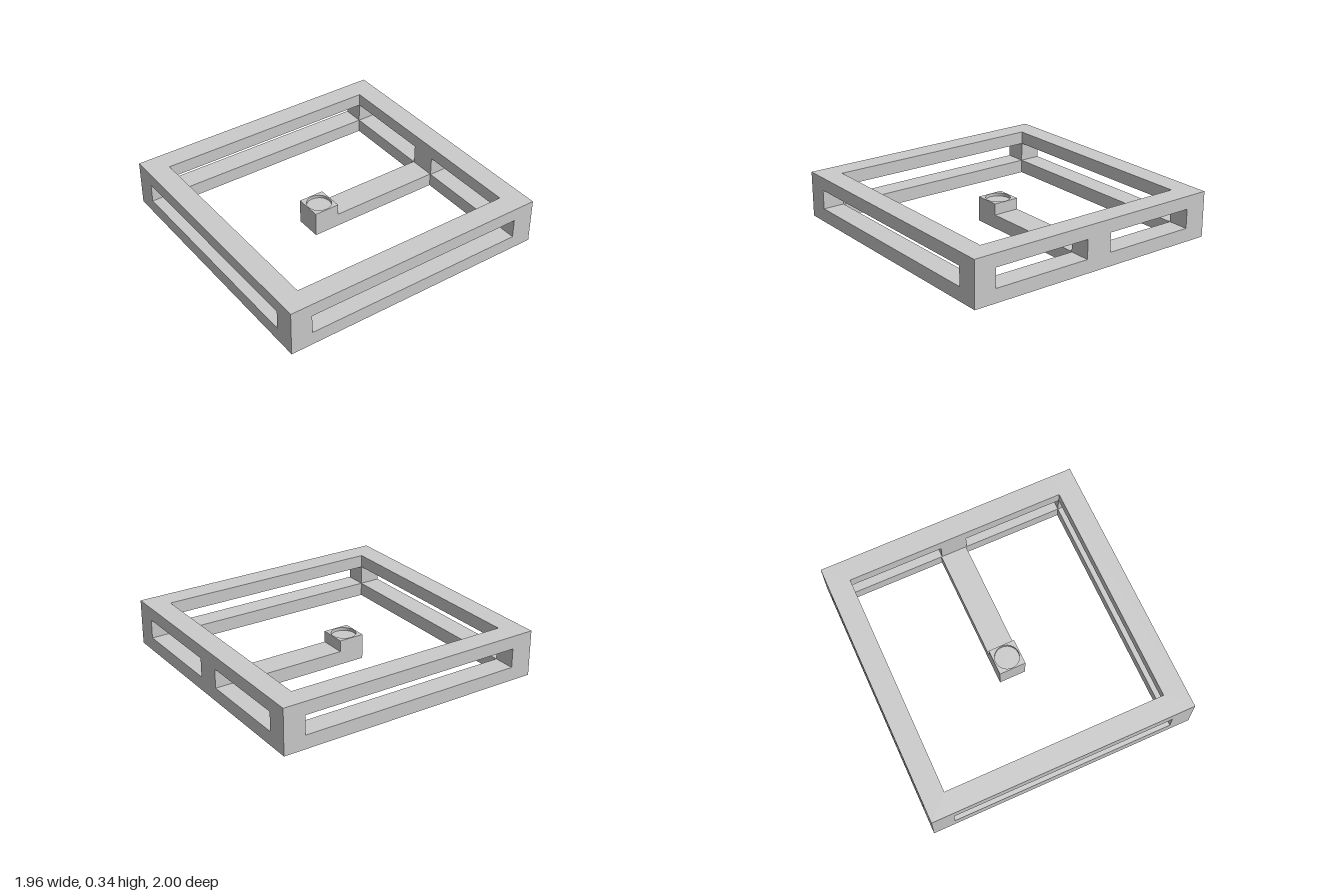
import * as THREE from 'three';

const material = new THREE.MeshStandardMaterial({ color: 0xcccccc, flatShading: true });

// Half sizes of the frame (outer, inner) and the rail heights
const OUT_X = 0.974, OUT_Z = 0.993, IN_X = 0.814, IN_Z = 0.835;
const LOW = 0.1, HIGH = 0.24, TOP = 0.335;

// Arm position and sizes
const ARM_X = -0.022, ARM_W = 0.196, PAD_BACK = 0, PAD_FRONT = 0.19;
const PAD_TOP = 0.183, RECESS = 0.022;

function polygon(points, Type = THREE.Shape) {
  return new Type(points.map(([x, y]) => new THREE.Vector2(x, y)));
}

function rectangle(hx, hy, Type) {
  return polygon([[-hx, -hy], [hx, -hy], [hx, hy], [-hx, hy]], Type);
}

function add(parent, name, geometry) {
  const mesh = new THREE.Mesh(geometry, material);
  mesh.name = name;
  parent.add(mesh);
  return mesh;
}

// Extrude a ground-plan shape upward from y0 to y1
function slab(shape, y0, y1) {
  return new THREE.ExtrudeGeometry(shape, { depth: y1 - y0, bevelEnabled: false, curveSegments: 32 })
    .rotateX(-Math.PI / 2)
    .translate(0, y0, 0);
}

export function createModel() {
  const model = new THREE.Group();
  model.name = 'openFrameWithArm';

  // Rectangular frame, turned very slightly about the vertical
  const frame = new THREE.Group();
  frame.name = 'frame';
  frame.rotation.y = -0.0065;
  model.add(frame);

  const ring = rectangle(OUT_X, OUT_Z);
  ring.holes.push(rectangle(IN_X, IN_Z, THREE.Path));
  add(frame, 'lowerRing', slab(ring, 0, LOW));
  add(frame, 'upperRing', slab(ring, HIGH, TOP));

  // Corner posts between the rings
  const postY = (LOW + HIGH) / 2, postH = HIGH - LOW;
  const postW = OUT_X - IN_X, postD = OUT_Z - IN_Z;
  for (const sx of [-1, 1]) {
    for (const sz of [-1, 1]) {
      add(frame, 'cornerPost', new THREE.BoxGeometry(postW, postH, postD))
        .position.set(sx * (OUT_X + IN_X) / 2, postY, sz * (OUT_Z + IN_Z) / 2);
    }
  }

  // Middle post at the back, above the root of the arm
  add(frame, 'backPost', new THREE.BoxGeometry(ARM_W, postH, postD))
    .position.set(ARM_X, postY, -(OUT_Z + IN_Z) / 2);

  // Cantilever arm with a raised end, from its side profile (z, y)
  const profile = polygon([
    [-0.84, 0], [PAD_FRONT, 0], [PAD_FRONT, PAD_TOP - RECESS],
    [PAD_BACK, PAD_TOP - RECESS], [PAD_BACK, LOW], [-0.84, LOW],
  ]);
  const arm = new THREE.ExtrudeGeometry(profile, { depth: ARM_W, bevelEnabled: false });
  arm.rotateY(-Math.PI / 2).translate(ARM_X + ARM_W / 2, 0, 0);
  add(model, 'arm', arm);

  // Collar around the shallow round recess on the raised end
  const collar = rectangle(ARM_W / 2, (PAD_FRONT - PAD_BACK) / 2);
  collar.holes.push(new THREE.Path().absarc(0, 0, 0.088, 0, Math.PI * 2, true));
  add(model, 'recessCollar', slab(collar, PAD_TOP - RECESS, PAD_TOP))
    .position.set(ARM_X, 0, (PAD_FRONT + PAD_BACK) / 2);

  return model;
}
